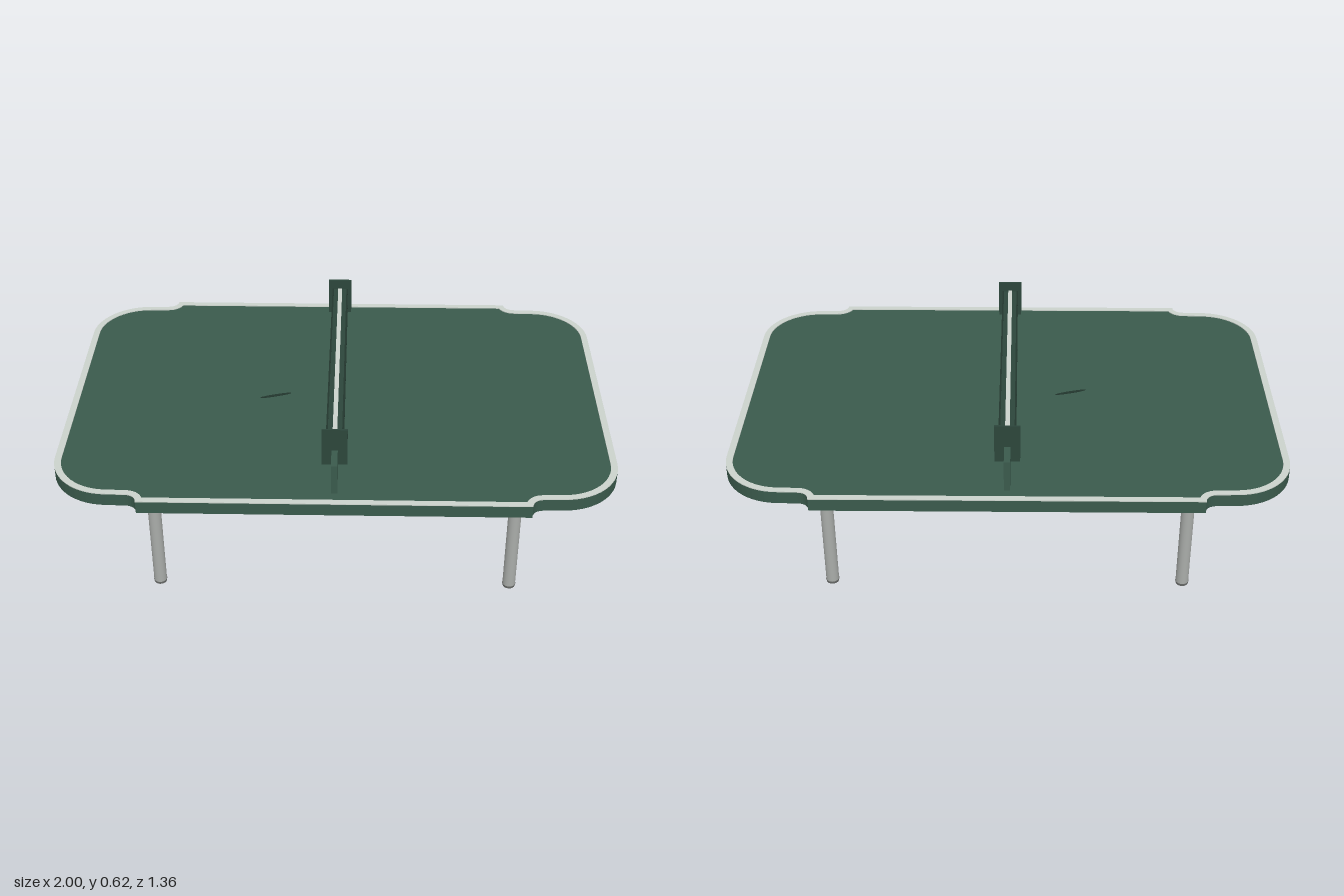
import * as THREE from 'three';

const mat = (name, color) => {
  const m = new THREE.MeshStandardMaterial({ color });
  m.name = name;
  return m;
};

// Half outline of the top (z > 0 side), inset by d; mirrored to close the loop
function outlinePoints(d) {
  const quarter = [];
  const arc = (cx, cy, r, a0, a1, n) => {
    for (let i = 0; i <= n; i++) {
      const a = a0 + ((a1 - a0) * i) / n;
      quarter.push(new THREE.Vector2(cx + r * Math.cos(a), cy + r * Math.sin(a)));
    }
  };
  arc(0.79, 0.43, 0.21 - d, 0, Math.PI / 2, 14); // rounded corner
  const r = 0.04 + d;
  arc(0.72, 0.682, r, -Math.PI / 2, -Math.PI + Math.asin(d / r), 6); // concave notch
  const flip = (pts, sx, sy) => pts.map((p) => new THREE.Vector2(p.x * sx, p.y * sy));
  const back = quarter.slice().reverse();
  return [...quarter, ...flip(back, -1, 1), ...flip(quarter, -1, -1), ...flip(back, 1, -1)];
}

// Extrude a plan shape downwards from height yTop
function slab(shape, yTop, depth) {
  const g = new THREE.ExtrudeGeometry(shape, { depth, bevelEnabled: false });
  g.rotateX(Math.PI / 2);
  g.translate(0, yTop, 0);
  return g;
}

export function createModel() {
  const root = new THREE.Group();
  root.name = 'gameTable';
  const green = mat('table green', 0x3a5a4c);
  const netGreen = mat('net green', 0x2c463b);
  const dark = mat('dark trim', 0x22362d);
  const pale = mat('pale edging', 0xcbd2cc);
  const metal = mat('grey metal', 0xa9aca9);
  const darkMetal = mat('dark metal', 0x6e706e);

  const add = (name, geo, material, x = 0, y = 0, z = 0, parent = root) => {
    const m = new THREE.Mesh(geo, material);
    m.name = name;
    m.position.set(x, y, z);
    parent.add(m);
    return m;
  };
  const box = (name, w, h, d, material, x, y, z, parent) =>
    add(name, new THREE.BoxGeometry(w, h, d), material, x, y, z, parent);

  // Table top with a pale edging strip
  add('tableTop', slab(new THREE.Shape(outlinePoints(0)), 0.418, 0.046), green);
  const ring = new THREE.Shape(outlinePoints(0));
  ring.holes.push(new THREE.Path(outlinePoints(0.024)));
  add('edging', slab(ring, 0.421, 0.003), pale);

  // Small slim mark on the playing surface
  const mark = add('surfaceMark', new THREE.CylinderGeometry(0.06, 0.06, 0.003, 20), dark, -0.235, 0.419, 0.015);
  mark.scale.z = 0.1;
  mark.rotation.y = 0.3;

  // Net: solid lower board, raised band and end plates
  const net = new THREE.Group();
  net.name = 'net';
  root.add(net);
  box('netBoard', 0.022, 0.117, 1.24, green, 0, 0.4765, 0, net);
  box('netBand', 0.056, 0.08, 1.05, netGreen, 0, 0.542, 0, net);
  box('netTape', 0.016, 0.004, 1.05, pale, 0, 0.583, 0, net);
  for (const x of [-0.028, 0.028]) {
    for (const y of [0.504, 0.58]) box('netCord', 0.006, 0.006, 1.05, dark, x, y, 0, net);
  }
  for (const z of [-0.525, 0.525]) box('netEndPlate', 0.09, 0.146, 0.007, netGreen, 0, 0.548, z, net);

  // Legs with dark feet
  const legGeo = new THREE.CylinderGeometry(0.023, 0.023, 0.364, 20);
  const footGeo = new THREE.CylinderGeometry(0.024, 0.022, 0.01, 20);
  for (const x of [-0.63, 0.63]) {
    for (const z of [-0.602, 0.602]) {
      add('leg', legGeo, metal, x, 0.192, z);
      add('foot', footGeo, darkMetal, x, 0.005, z);
    }
  }

  // Underframe beams, tapered upwards at both ends
  const frame = new THREE.Group();
  frame.name = 'underframe';
  root.add(frame);
  const beam = (name, half, taper, width, bottom) => {
    const s = new THREE.Shape();
    s.moveTo(-half, 0.374);
    s.lineTo(-half, 0.366);
    s.lineTo(-half + taper, bottom);
    s.lineTo(half - taper, bottom);
    s.lineTo(half, 0.366);
    s.lineTo(half, 0.374);
    const g = new THREE.ExtrudeGeometry(s, { depth: width, bevelEnabled: false });
    g.translate(0, 0, -width / 2);
    return add(name, g, metal, 0, 0, 0, frame);
  };
  beam('longBeam', 0.84, 0.03, 0.026, 0.35);
  beam('middleCrossBeam', 0.56, 0.06, 0.03, 0.35).rotation.y = Math.PI / 2;
  box('centreJoint', 0.08, 0.028, 0.05, darkMetal, 0, 0.359, 0, frame);
  for (const s of [-1, 1]) {
    const bar = beam('thinCrossBar', 0.56, 0.12, 0.012, 0.352);
    bar.rotation.y = Math.PI / 2;
    bar.position.x = s * 0.49;
    box('barJoint', 0.045, 0.028, 0.036, darkMetal, s * 0.49, 0.359, 0, frame);
    box('beamEnd', 0.02, 0.012, 0.045, metal, s * 0.825, 0.367, 0, frame);
    box('clampPlate', 0.13, 0.014, 0.022, metal, 0, 0.358, s * 0.46, frame);
  }
  return root;
}
